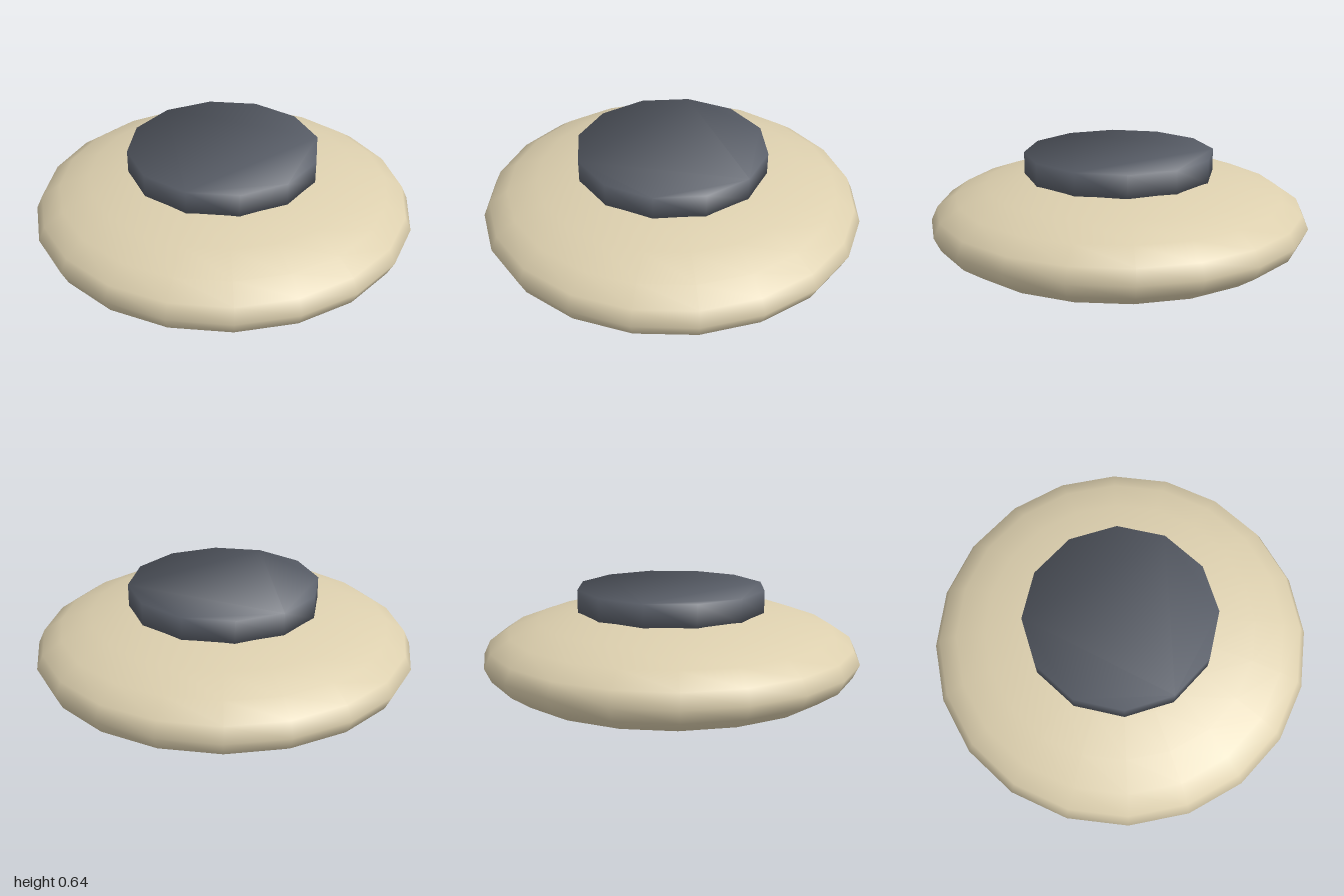
import * as THREE from 'three';

const cream = new THREE.MeshStandardMaterial({ color: 0xdccfae });
cream.name = 'cream';
const slate = new THREE.MeshStandardMaterial({ color: 0x5a5f69 });
slate.name = 'slate grey';

// Flattened ball resting on the ground
function makeBody() {
  const geometry = new THREE.SphereGeometry(1, 20, 12).scale(1, 0.28, 1);
  const body = new THREE.Mesh(geometry, cream);
  body.name = 'body';
  body.position.y = 0.28;
  return body;
}

// Twelve-sided cap whose normals run smoothly from the sides over the top
function makeCap(radius, bottom, height) {
  const outline = [];
  for (let i = 0; i < 12; i++) {
    const a = (i / 12) * Math.PI * 2;
    outline.push(new THREE.Vector2(Math.cos(a) * radius, Math.sin(a) * radius));
  }
  const geometry = new THREE.ExtrudeGeometry(new THREE.Shape(outline), {
    depth: height,
    bevelEnabled: false,
  }).rotateX(-Math.PI / 2);

  // Rim normals blend the outward and vertical directions
  const { position, normal } = geometry.attributes;
  const n = new THREE.Vector3();
  for (let i = 0; i < position.count; i++) {
    n.fromBufferAttribute(position, i).divideScalar(radius);
    n.y = position.getY(i) > height / 2 ? 0.86 : -0.86;
    n.normalize();
    normal.setXYZ(i, n.x, n.y, n.z);
  }

  const cap = new THREE.Mesh(geometry, slate);
  cap.name = 'topCap';
  cap.position.y = bottom;
  return cap;
}

export function createModel() {
  const model = new THREE.Group();
  model.name = 'flattenedPot';
  model.add(makeBody(), makeCap(0.5, 0.52, 0.12));
  return model;
}
